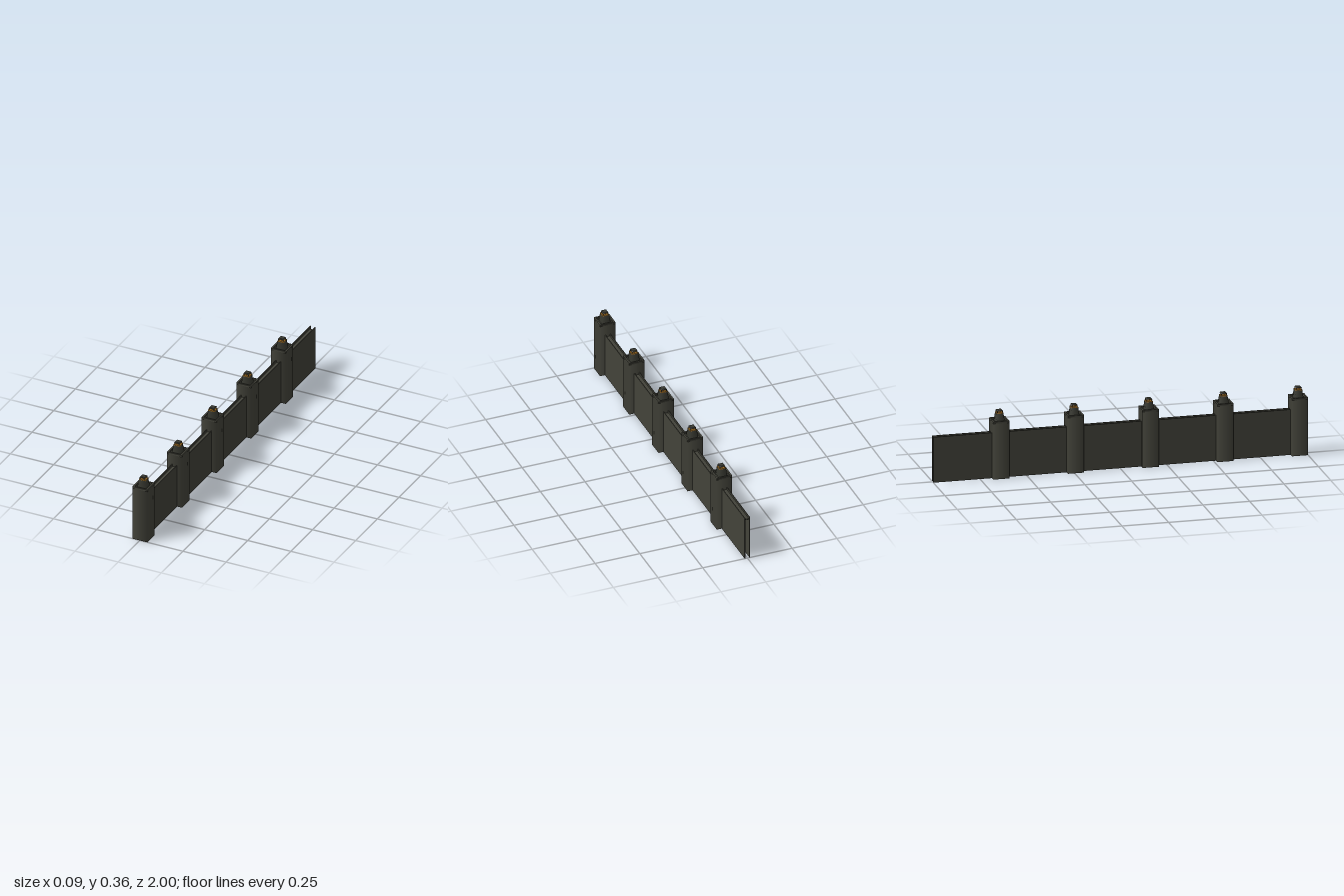
import * as THREE from 'three';

const mat = (name, color) => {
  const m = new THREE.MeshStandardMaterial({ color, side: THREE.DoubleSide });
  m.name = name;
  return m;
};

export function createModel() {
  const stone = mat('dark stone', 0x43433a);
  const iron = mat('dark iron', 0x383931);
  const brass = mat('brass', 0x9a6a22);

  const add = (parent, name, geo, material, x = 0, y = 0, z = 0) => {
    const mesh = new THREE.Mesh(geo, material);
    mesh.name = name;
    mesh.position.set(x, y, z);
    parent.add(mesh);
    return mesh;
  };
  const box = (w, h, d) => new THREE.BoxGeometry(w, h, d);
  // Square frustum given by half widths, standing on y = 0, smooth across its corners
  const frustum = (top, bottom, h) =>
    new THREE.CylinderGeometry(top * Math.SQRT2, bottom * Math.SQRT2, h, 4)
      .rotateY(Math.PI / 4).translate(0, h / 2, 0);
  // Square frame lying flat
  const frame = (outer, inner, h) => {
    const square = (C, r) => new C([[-r, -r], [r, -r], [r, r], [-r, r]].map(p => new THREE.Vector2(...p)));
    const s = square(THREE.Shape, outer);
    s.holes.push(square(THREE.Path, inner));
    return new THREE.ExtrudeGeometry(s, { depth: h, bevelEnabled: false }).rotateX(-Math.PI / 2);
  };

  const model = new THREE.Group();
  model.name = 'pillaredWall';

  // Wall: two thin panels joined by a recessed web, open at the far end and below
  const wall = new THREE.Group();
  wall.name = 'wall';
  model.add(wall);
  for (const s of [-1, 1])
    add(wall, 'wallPanel', box(0.004, 0.246, 1.95), stone, s * 0.0135, 0.123, -0.025);
  add(wall, 'wallWeb', box(0.024, 0.004, 1.94), stone, 0, 0.232, -0.02);

  // Lantern finial on a pillar
  const makeLantern = () => {
    const g = new THREE.Group();
    g.name = 'lantern';
    add(g, 'lanternBase', frustum(0.018, 0.024, 0.044), iron);
    add(g, 'brassCollar', frustum(0.018, 0.019, 0.004), brass, 0, 0.044);
    add(g, 'burner', new THREE.CylinderGeometry(0.005, 0.008, 0.008, 8), brass, 0, 0.052);
    for (const x of [-1, 1]) for (const z of [-1, 1])
      add(g, 'lanternPost', box(0.003, 0.012, 0.003), iron, x * 0.0135, 0.053, z * 0.0135);
    add(g, 'lanternRoof', frustum(0.013, 0.016, 0.005), iron, 0, 0.057);
    return g;
  };

  // Pillars with a raised rim around the top
  for (let i = 0; i < 5; i++) {
    const pillar = new THREE.Group();
    pillar.name = 'pillar';
    pillar.position.z = 0.957 - 0.4 * i;
    add(pillar, 'pillarShaft', frustum(0.043, 0.043, 0.302), stone);
    add(pillar, 'pillarRim', frame(0.043, 0.034, 0.01), stone, 0, 0.302);
    const lantern = makeLantern();
    lantern.position.y = 0.302;
    pillar.add(lantern);
    model.add(pillar);
  }
  return model;
}
